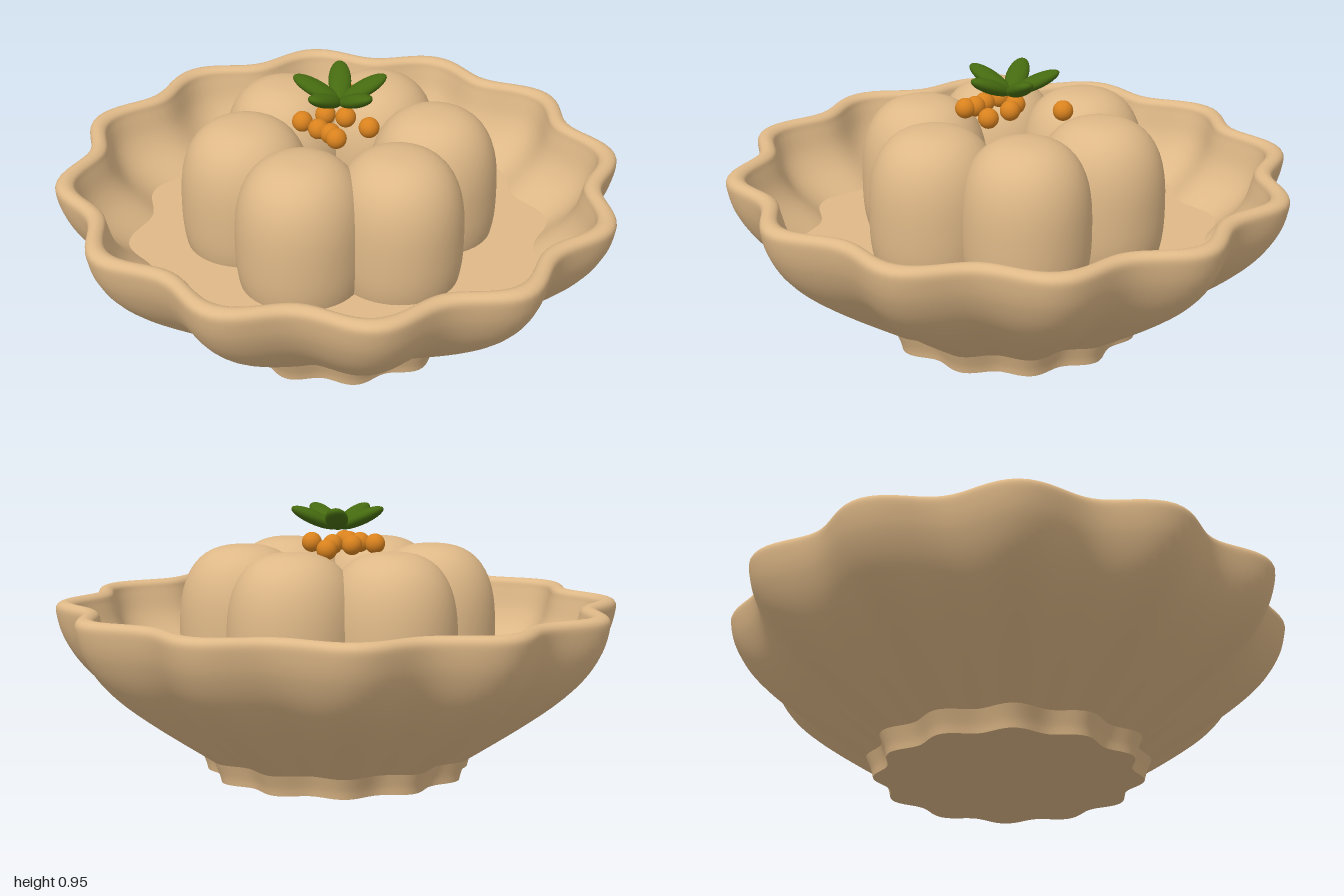
import * as THREE from 'three';
import { mergeVertices } from 'three/addons/utils/BufferGeometryUtils.js';

const material = (name, color) => {
  const m = new THREE.MeshStandardMaterial({ color });
  m.name = name;
  return m;
};

const vectors = (pairs) => pairs.map(([r, y]) => new THREE.Vector2(r, y));
const smooth = (pairs, n) => new THREE.SplineCurve(vectors(pairs)).getPoints(n);

// Lathe whose radius ripples in twelve scallops
function scallopedLathe(points) {
  const geo = new THREE.LatheGeometry(points, 192);
  const pos = geo.attributes.position;
  for (let i = 0; i < pos.count; i++) {
    const x = pos.getX(i), z = pos.getZ(i);
    const k = 0.959 + 0.041 * Math.cos(12 * Math.atan2(x, z));
    pos.setX(i, x * k);
    pos.setZ(i, z * k);
  }
  geo.deleteAttribute('uv');
  geo.deleteAttribute('normal');
  const merged = mergeVertices(geo, 1e-5);
  merged.computeVertexNormals();
  return merged;
}

// Sphere with fuller shoulders, stretched to one lobe of the pumpkin
function lobeGeometry(rx, ry, rz, power) {
  const geo = new THREE.SphereGeometry(1, 48, 32);
  const pos = geo.attributes.position;
  for (let i = 0; i < pos.count; i++) {
    const x = pos.getX(i), y = pos.getY(i), z = pos.getZ(i);
    const k = Math.pow(Math.pow(Math.hypot(x, z), power) + Math.pow(Math.abs(y), power), -1 / power);
    pos.setXYZ(i, x * k * rx, y * k * ry, z * k * rz);
  }
  geo.deleteAttribute('uv');
  geo.deleteAttribute('normal');
  const merged = mergeVertices(geo, 1e-5);
  merged.computeVertexNormals();
  return merged;
}

export function createModel() {
  const model = new THREE.Group();
  const clay = material('tan clay', 0xdeb887);
  const berryOrange = material('berry orange', 0xd9821e);
  const leafGreen = material('leaf green', 0x456a10);

  const add = (parent, name, geo, mat) => {
    const mesh = new THREE.Mesh(geo, mat);
    mesh.name = name;
    parent.add(mesh);
    return mesh;
  };

  // Bowl: each profile runs on from the last, so edges between them stay sharp
  const bowl = new THREE.Group();
  bowl.name = 'bowl';
  model.add(bowl);
  add(bowl, 'bowlBase', scallopedLathe(vectors([[0, 0], [0.47, 0]])), clay);
  add(bowl, 'bowlFoot', scallopedLathe(smooth([[0.47, 0], [0.478, 0.03], [0.497, 0.075]], 8)), clay);
  add(bowl, 'bowlWall', scallopedLathe(smooth([
    [0.497, 0.075], [0.69, 0.205], [0.83, 0.31], [0.92, 0.4], [0.975, 0.49],
    [0.998, 0.57], [0.994, 0.603], [0.965, 0.615], [0.936, 0.603], [0.926, 0.57],
    [0.9, 0.49], [0.85, 0.42], [0.76, 0.345],
  ], 60)), clay);
  add(bowl, 'bowlFloor', scallopedLathe(vectors([[0.76, 0.345], [0, 0.345]])), clay);

  // Pumpkin: six overlapping lobes around the centre
  const pumpkin = new THREE.Group();
  pumpkin.name = 'pumpkin';
  model.add(pumpkin);
  const lobe = lobeGeometry(0.23, 0.31, 0.225, 2.7);
  for (let i = 0; i < 6; i++) {
    const a = (i * Math.PI) / 3;
    const mesh = add(pumpkin, 'pumpkinLobe', lobe, clay);
    mesh.position.set(0.333 * Math.cos(a), 0.5, -0.333 * Math.sin(a));
    mesh.rotation.y = a;
  }

  // Berries scattered on top
  const berries = new THREE.Group();
  berries.name = 'berries';
  model.add(berries);
  const berry = new THREE.SphereGeometry(0.036, 24, 16);
  for (const [x, z] of [
    [-0.13, -0.13], [-0.05, 0.125], [0.12, 0.105], [0.08, 0.1],
    [0.028, 0.113], [0.124, -0.032], [-0.045, 0.03], [0.014, -0.014],
  ]) {
    add(berries, 'berry', berry, berryOrange).position.set(x, 0.808, z);
  }

  // Five leaves rising outward in a star
  const leaves = new THREE.Group();
  leaves.name = 'leaves';
  model.add(leaves);
  const leaf = new THREE.SphereGeometry(1, 28, 18).scale(0.09, 0.025, 0.04);
  leaf.rotateZ(0.42).translate(0.087, 0.905, 0);
  for (let i = 0; i < 5; i++) {
    add(leaves, 'leaf', leaf, leafGreen).rotation.y = (i * Math.PI * 2) / 5;
  }

  return model;
}
